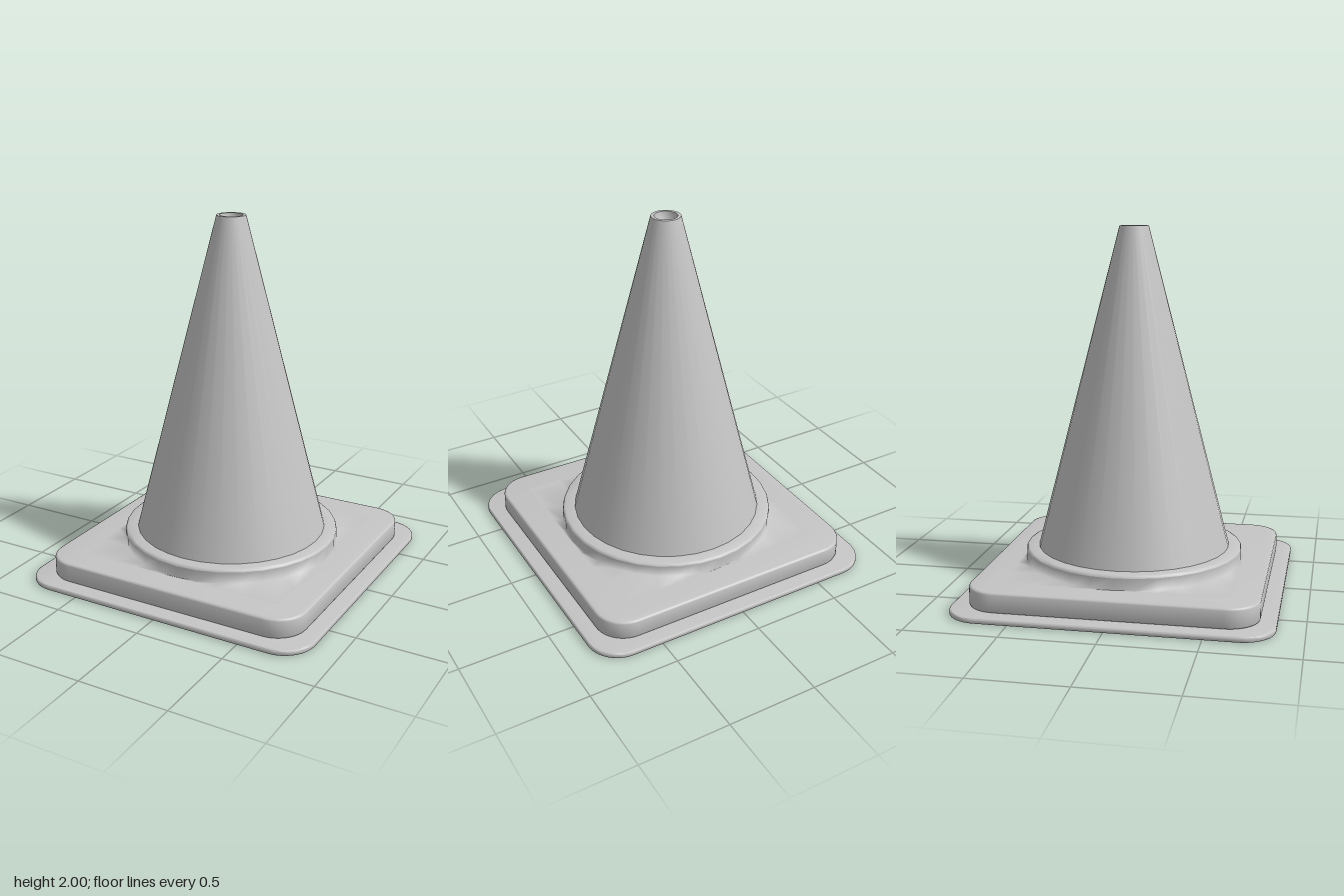
import * as THREE from 'three';
import { toCreasedNormals } from 'three/addons/utils/BufferGeometryUtils.js';

const SIDES = 32;

// Flat slab with rounded corners and softened edges, standing from y0 to y1
function slab(name, half, radius, y0, y1, bevel, material) {
  const s = new THREE.Shape();
  const c = half - radius;
  s.moveTo(half, -c);
  s.absarc(c, c, radius, 0, Math.PI / 2);
  s.absarc(-c, c, radius, Math.PI / 2, Math.PI);
  s.absarc(-c, -c, radius, Math.PI, Math.PI * 1.5);
  s.absarc(c, -c, radius, Math.PI * 1.5, Math.PI * 2);
  const g = new THREE.ExtrudeGeometry(s, {
    depth: y1 - y0 - 2 * bevel, curveSegments: 6,
    bevelEnabled: true, bevelSize: bevel, bevelThickness: bevel, bevelOffset: -bevel, bevelSegments: 2,
  });
  g.rotateX(-Math.PI / 2).translate(0, y0 + bevel, 0);
  const mesh = new THREE.Mesh(toCreasedNormals(g, 0.9), material);
  mesh.name = name;
  return mesh;
}

// Round part turned from [radius, height] points
function turned(name, points, material) {
  const g = new THREE.LatheGeometry(points.map(([r, y]) => new THREE.Vector2(r, y)), SIDES);
  const mesh = new THREE.Mesh(toCreasedNormals(g, 0.9), material);
  mesh.name = name;
  return mesh;
}

// Smooth skirt blending a square outline into the wall of the round collar
function skirt(name, half, radius, y, wallTop, material) {
  const rows = [[1, y + 0.001], [0, y + 0.002], [0, wallTop]];
  const pos = [], index = [];
  for (const [square, h] of rows) {
    for (let i = 0; i < SIDES; i++) {
      const a = (i / SIDES) * Math.PI * 2, cx = Math.cos(a), cz = Math.sin(a);
      const r = square ? half / Math.max(Math.abs(cx), Math.abs(cz)) : radius;
      pos.push(cx * r, h, cz * r);
    }
  }
  for (let j = 0; j < rows.length - 1; j++) {
    for (let i = 0; i < SIDES; i++) {
      const n = (i + 1) % SIDES;
      const a = j * SIDES + i, b = j * SIDES + n, c = a + SIDES, d = b + SIDES;
      index.push(a, c, b, b, c, d);
    }
  }
  const g = new THREE.BufferGeometry();
  g.setAttribute('position', new THREE.Float32BufferAttribute(pos, 3));
  g.setIndex(index);
  g.computeVertexNormals();
  const mesh = new THREE.Mesh(g, material);
  mesh.name = name;
  return mesh;
}

export function createModel() {
  const grey = new THREE.MeshStandardMaterial({ color: 0xc4c4c4 });
  grey.name = 'plain grey';

  const model = new THREE.Group();
  model.name = 'trafficCone';

  // Square foot in two steps
  model.add(slab('basePlate', 0.855, 0.18, 0, 0.03, 0.008, grey));
  model.add(slab('baseBlock', 0.77, 0.17, 0.03, 0.14, 0.012, grey));

  // Round collar under the cone
  model.add(skirt('collarSkirt', 0.615, 0.609, 0.14, 0.205, grey));
  model.add(turned('collarRim', [[0.609, 0.205], [0.605, 0.215], [0.595, 0.22], [0.52, 0.22]], grey));

  // Tapered body with a hollow tip
  model.add(turned('coneBody', [
    [0.537, 0.22], [0.08, 2], [0.062, 2], [0.056, 1.95], [0.035, 1.925], [0, 1.915],
  ], grey));

  return model;
}
